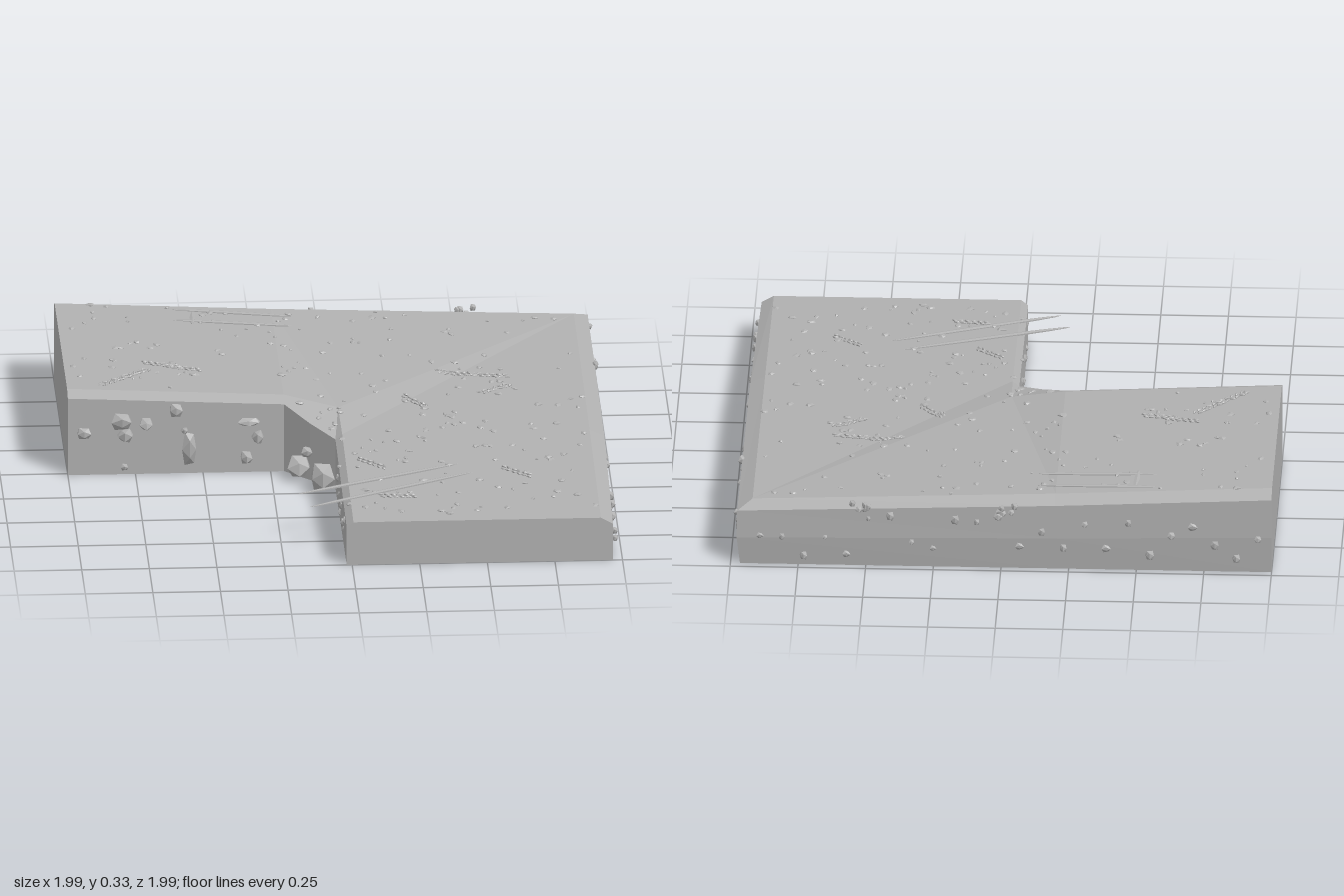
import * as THREE from 'three';

const stone = new THREE.MeshStandardMaterial({ color: 0xb0b0b0, flatShading: true });
stone.name = 'grey stone';

// Seeded random numbers
let seed = 7;
const rnd = (a = 0, b = 1) => {
  seed = (seed * 16807) % 2147483647;
  return a + (b - a) * (seed / 2147483647);
};

// L-shaped sloping slab: cross-sections swept round the corner
function makeSlab() {
  // outer edge point, outward direction, inner edge point, inward direction, bevel inset, height
  const stations = [
    [-1, -0.97, 0, -1, -1, 0.015, 0, 1, 0.05, 0.322],
    [-0.2, -0.97, 0, -1, -0.2, 0.015, 0, 1, 0.05, 0.284],
    [0.965, -0.97, 1, -1, -0.11, 0.11, -1, 1, 0.11, 0.243],
    [0.965, 0.2, 1, 0, -0.02, 0.2, -1, 0, 0.025, 0.212],
    [0.965, 1, 1, 0, -0.02, 1, -1, 0, 0.025, 0.168],
  ];
  const rings = stations.map(([ox, oz, dx, dz, ix, iz, ex, ez, inset, h], k) => {
    const out = (d, y) => [ox + dx * d, y, oz + dz * d];
    const inn = (d, y) => [ix + ex * d, y, iz + ez * d];
    const bulge = k === 4 ? 0 : 0.012;
    return [out(0, 0), out(bulge, h * 0.45), out(bulge * 0.8, h - 0.025), out(-0.045, h),
      inn(-inset, h), inn(0, h - 0.02), inn(0, 0)];
  });
  const pos = [];
  const tri = (a, b, c) => pos.push(...a, ...b, ...c);
  const n = rings[0].length;
  for (let i = 0; i < rings.length - 1; i++) {
    const r = rings[i], s = rings[i + 1];
    for (let j = 0; j < n; j++) {
      const k = (j + 1) % n;
      tri(r[j], r[k], s[k]);
      tri(r[j], s[k], s[j]);
    }
  }
  const first = rings[0], last = rings[rings.length - 1];
  for (let j = 1; j < n - 1; j++) {
    tri(first[0], first[j + 1], first[j]);
    tri(last[0], last[j], last[j + 1]);
  }
  const g = new THREE.BufferGeometry();
  g.setAttribute('position', new THREE.Float32BufferAttribute(pos, 3));
  g.computeVertexNormals();
  const mesh = new THREE.Mesh(g, stone);
  mesh.name = 'slab';
  return mesh;
}

// A few irregular rock shapes, shared by all stones
function makeRockShape() {
  const g = new THREE.IcosahedronGeometry(1, 0);
  const p = g.attributes.position;
  const a = rnd(0, 6), b = rnd(0, 6);
  for (let i = 0; i < p.count; i++) {
    const x = p.getX(i), y = p.getY(i), z = p.getZ(i);
    const s = 1 + 0.16 * Math.sin(3 * x + a + 2 * z) + 0.12 * Math.cos(4 * y + b);
    p.setXYZ(i, x * s, y * s, z * s);
  }
  g.computeVertexNormals();
  return g;
}

export function createModel() {
  const model = new THREE.Group();
  const slab = makeSlab();
  model.add(slab);
  slab.updateMatrixWorld();

  const ray = new THREE.Raycaster();
  const down = new THREE.Vector3(0, -1, 0);
  const heightAt = (x, z) => {
    ray.set(new THREE.Vector3(x, 1, z), down);
    const hit = ray.intersectObject(slab)[0];
    return hit ? hit.point.y : null;
  };

  const group = (name) => {
    const g = new THREE.Group();
    g.name = name;
    model.add(g);
    return g;
  };
  const shapes = [0, 1, 2, 3].map(makeRockShape);
  let count = 0;
  const rock = (parent, name, x, y, z, sx, sy, sz, spin = 0) => {
    const m = new THREE.Mesh(shapes[count++ % 4], stone);
    m.name = name;
    m.position.set(x, y, z);
    m.scale.set(sx, sy, sz);
    m.rotation.y = spin;
    parent.add(m);
  };

  // Pebbles strewn over the top
  const pebbles = group('topPebbles');
  for (let i = 0; i < 270; i++) {
    const x = rnd(-0.97, 0.92), z = rnd(-0.92, 0.97), r = rnd(0.007, 0.019);
    const y = heightAt(x, z);
    if (y !== null) rock(pebbles, 'pebble', x, y, z, r, 0.007, r * rnd(0.7, 1), rnd(0, 6));
  }

  // Pebbles on the outer walls
  const wall = group('wallPebbles');
  const rightWall = [[0.93, 0.09], [0.9, 0.05], [0.8, 0.1], [0.73, 0.12], [0.65, 0.12], [0.69, 0.05],
    [0.58, 0.05], [0.35, 0.13], [0.22, 0.06], [0.2, 0.1], [-0.1, 0.04], [-0.24, 0.12], [-0.43, 0.13],
    [-0.5, 0.2], [-0.63, 0.17], [-0.8, 0.07], [-0.85, 0.12], [-0.93, 0.19]];
  for (const [z, y] of rightWall) {
    const r = rnd(0.011, 0.02);
    rock(wall, 'pebble', 0.975, y, z, 0.014, r, r);
  }
  for (let i = 0; i < 24; i++) {
    const r = rnd(0.01, 0.02);
    rock(wall, 'pebble', -0.95 + i * 0.08, rnd(0.04, 0.22), -0.981, r, r, 0.011);
  }
  for (const x of [-0.02, 0.52]) {
    for (let i = 0; i < 5; i++) {
      rock(wall, 'pebble', x + rnd(-0.03, 0.03), 0.235 + rnd(-0.02, 0.02), -0.978, 0.014, 0.014, 0.014);
    }
  }
  for (let i = 0; i < 7; i++) rock(wall, 'pebble', -0.02, rnd(0.04, 0.14), 0.4 + i * 0.08, 0.01, 0.016, 0.016);

  // Larger rocks set into the inner walls: x, y, z, half sizes
  const inner = group('innerWallRocks');
  const big = [
    [-0.94, 0.165, 0.02, 0.03, 0.022, 0.02], [-0.8, 0.21, 0.02, 0.045, 0.035, 0.035],
    [-0.79, 0.155, 0.02, 0.032, 0.03, 0.03], [-0.71, 0.2, 0.02, 0.028, 0.026, 0.04],
    [-0.6, 0.25, 0.02, 0.028, 0.026, 0.02], [-0.55, 0.1, 0.02, 0.032, 0.07, 0.035],
    [-0.57, 0.17, 0.02, 0.014, 0.014, 0.02], [-0.33, 0.2, 0.02, 0.048, 0.018, 0.025],
    [-0.34, 0.06, 0.02, 0.025, 0.024, 0.035], [-0.79, 0.03, 0.02, 0.016, 0.014, 0.02],
    [-0.3, 0.14, 0.02, 0.024, 0.03, 0.03], [-0.15, 0.055, 0.11, 0.048, 0.05, 0.045],
    [-0.07, 0.06, 0.24, 0.05, 0.055, 0.05], [-0.12, 0.11, 0.11, 0.025, 0.022, 0.025],
  ];
  for (const b of big) rock(inner, 'wallRock', ...b);

  // Ridges of crumbs on the top: x, z, heading
  const ridges = group('crumbRidges');
  const lines = [[-0.82, -0.13, -0.75], [-0.74, -0.21, -0.75], [-0.64, -0.31, 0.25], [-0.56, -0.28, 0.25],
    [0.45, -0.36, 0.05], [0.58, -0.34, 0.15], [0.59, -0.21, -0.6], [0.29, -0.1, 0.9], [0.1, 0.47, 0.75],
    [0.63, 0.57, 0.7], [0.18, 0.77, 0.1]];
  for (const [x, z, a] of lines) {
    for (let i = 0; i < 12; i++) {
      const t = (i / 11 - 0.5) * 0.13, w = (i % 2 - 0.5) * 0.018;
      const px = x + Math.cos(a) * t - Math.sin(a) * w, pz = z + Math.sin(a) * t + Math.cos(a) * w;
      rock(ridges, 'crumb', px, heightAt(px, pz) + 0.002, pz, 0.012, 0.006, 0.006, -a + rnd(-0.6, 0.6));
    }
  }

  // Long thin splinters lying on the top: start x, y, z, end x, y, z
  const splinters = group('splinters');
  const splinterShape = new THREE.SphereGeometry(1, 6, 8).rotateZ(Math.PI / 2);
  const blades = [[-0.19, 0.184, 0.74, 0.42, 0.198, 0.49], [-0.15, 0.176, 0.855, 0.47, 0.194, 0.57],
    [-0.57, 0.302, -0.89, -0.13, 0.282, -0.85], [-0.57, 0.302, -0.78, -0.13, 0.282, -0.75],
    [-0.49, 0.29, -0.94, -0.5, 0.3, -0.74]];
  for (const [ax, ay, az, bx, by, bz] of blades) {
    const a = new THREE.Vector3(ax, ay, az), b = new THREE.Vector3(bx, by, bz);
    const dir = b.clone().sub(a);
    const m = new THREE.Mesh(splinterShape, stone);
    m.name = 'splinter';
    m.position.copy(a).add(b).multiplyScalar(0.5);
    m.scale.set(dir.length() / 2, 0.006, 0.012);
    m.quaternion.setFromUnitVectors(new THREE.Vector3(1, 0, 0), dir.normalize());
    splinters.add(m);
  }
  return model;
}
